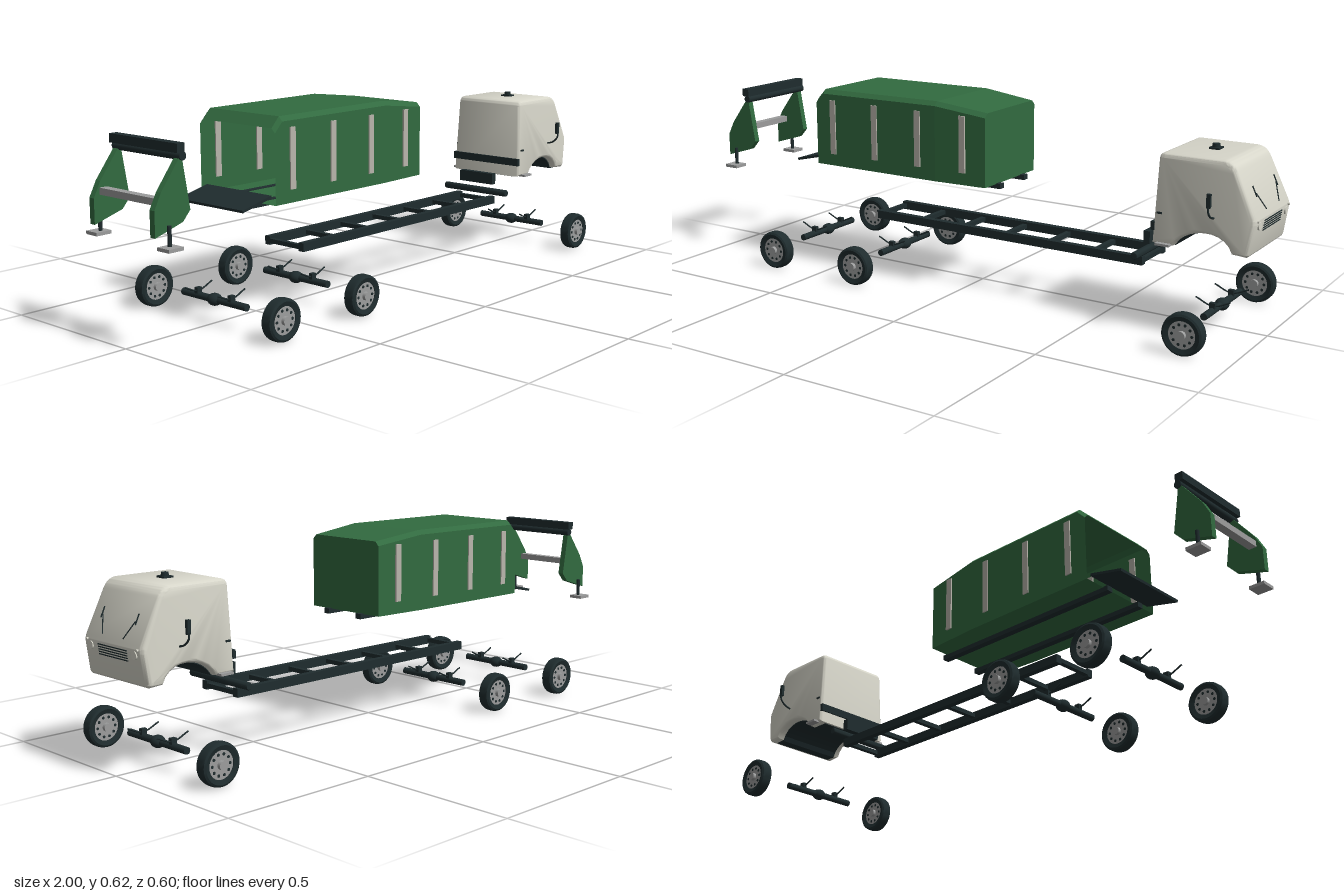
import * as THREE from 'three';
import { toCreasedNormals } from 'three/addons/utils/BufferGeometryUtils.js';

const mat = (name, color, side = THREE.FrontSide) => {
  const m = new THREE.MeshStandardMaterial({ color, side });
  m.name = name;
  return m;
};

export function createModel() {
  const truck = new THREE.Group();
  truck.name = 'explodedTruck';
  const green = mat('green', 0x326b40, THREE.DoubleSide);
  const dark = mat('dark', 0x1f2c2e);
  const cream = mat('cream', 0xd8d7cb);
  const metal = mat('metal', 0x9c9d9d);
  const trim = mat('trim', 0xb9b5ac);

  const group = (name, parent = truck) => {
    const g = new THREE.Group();
    g.name = name;
    parent.add(g);
    return g;
  };
  const add = (parent, name, geo, material, x = 0, y = 0, z = 0) => {
    const m = new THREE.Mesh(geo, material);
    m.name = name;
    m.position.set(x, y, z);
    parent.add(m);
    return m;
  };
  // Box given by its limits on each axis
  const box = (parent, name, material, x0, x1, y0, y1, z0, z1) =>
    add(parent, name, new THREE.BoxGeometry(x1 - x0, y1 - y0, z1 - z0), material,
      (x0 + x1) / 2, (y0 + y1) / 2, (z0 + z1) / 2);
  const cylZ = (r, w, n = 24) => new THREE.CylinderGeometry(r, r, w, n).rotateX(Math.PI / 2);
  const tube = (pts, r, n = 12) => new THREE.TubeGeometry(
    new THREE.CatmullRomCurve3(pts.map(p => new THREE.Vector3(...p))), n, r, 8);

  // Wheels and axles
  const tyreProfile = [[.042, -.015], [.056, -.0195], [.062, -.016], [.064, -.008], [.064, .008],
    [.062, .016], [.056, .0195], [.042, .015], [.042, -.015]].map(p => new THREE.Vector2(...p));
  const tyreGeo = toCreasedNormals(new THREE.LatheGeometry(tyreProfile, 40).rotateX(Math.PI / 2), 0.7);
  for (const x of [-0.667, -0.324, 0.854]) {
    for (const s of [1, -1]) {
      const wheel = group('wheel');
      wheel.position.set(x, 0.065, s * 0.277);
      add(wheel, 'tyre', tyreGeo, dark);
      add(wheel, 'rim', cylZ(0.043, 0.026, 32), metal);
      add(wheel, 'hub', cylZ(0.013, 0.048), metal);
      for (let i = 0; i < 10; i++) {
        const a = i * Math.PI / 5;
        add(wheel, 'rimHole', cylZ(0.0045, 0.029, 10), dark, 0.031 * Math.cos(a), 0.031 * Math.sin(a));
      }
    }
    const axle = group('axle');
    axle.position.set(x, 0.073, 0);
    add(axle, 'axleTube', cylZ(0.011, 0.276), dark);
    add(axle, 'differential', new THREE.SphereGeometry(0.024, 24, 16), dark).scale.set(0.9, 0.79, 1);
    for (const z of [0.072, -0.072]) {
      box(axle, 'springMount', dark, -0.009, 0.009, 0, 0.025, z - 0.007, z + 0.007);
      add(axle, 'leafSpring', tube([[-0.055, 0.034, z], [0, 0.014, z], [0.055, 0.034, z]], 0.0025), dark);
    }
  }

  // Ladder frame with bumper
  const frame = group('chassis');
  for (const s of [1, -1]) {
    box(frame, 'rail', dark, -0.375, 0.625, 0.176, 0.203, s * 0.073 - 0.0105, s * 0.073 + 0.0105);
  }
  for (let i = 0; i < 7; i++) {
    const x = -0.367 + i * 0.164;
    box(frame, 'crossMember', dark, x - 0.008, x + 0.008, 0.182, 0.196, -0.068, 0.068);
  }
  const bar = new THREE.Shape();
  bar.absellipse(0, 0, 0.0115, 0.012, 0, Math.PI * 2);
  const barGeo = new THREE.ExtrudeGeometry(bar, { depth: 0.266, bevelSize: 0.004, bevelOffset: -0.004,
    bevelThickness: 0.004, bevelSegments: 2, curveSegments: 10 }).translate(0, 0, -0.133);
  add(frame, 'bumper', toCreasedNormals(barGeo, 0.6), dark, 0.623, 0.219, 0);
  box(frame, 'radiator', dark, 0.622, 0.643, 0.244, 0.283, -0.072, 0.072);

  // Cab shell, extruded across and narrowed towards the roof
  const cab = group('cab');
  const side = new THREE.Shape();
  side.moveTo(0.682, 0.272);
  side.lineTo(0.748, 0.272);
  side.bezierCurveTo(0.785, 0.335, 0.905, 0.345, 0.93, 0.275);
  side.lineTo(0.972, 0.272);
  side.quadraticCurveTo(0.98, 0.272, 0.983, 0.285);
  side.lineTo(0.996, 0.365);
  side.quadraticCurveTo(0.998, 0.378, 0.994, 0.39);
  side.lineTo(0.935, 0.515);
  side.quadraticCurveTo(0.921, 0.545, 0.89, 0.545);
  side.lineTo(0.715, 0.545);
  side.quadraticCurveTo(0.694, 0.545, 0.692, 0.525);
  const taper = y => 1 - 0.08 * (y - 0.272) / 0.273;
  const cabGeo = new THREE.ExtrudeGeometry(side, { depth: 0.262, bevelThickness: 0.016, bevelSize: 0.014,
    bevelOffset: -0.014, bevelSegments: 5, curveSegments: 10 }).translate(0, 0, -0.131);
  const p = cabGeo.attributes.position;
  for (let i = 0; i < p.count; i++) p.setZ(i, p.getZ(i) * taper(p.getY(i)));
  add(cab, 'cabShell', toCreasedNormals(cabGeo, 0.6), cream);

  // Dark lining under the cab between the wheel arches
  const lining = new THREE.Shape();
  lining.moveTo(0.69, 0.27);
  lining.lineTo(0.749, 0.27);
  lining.bezierCurveTo(0.786, 0.332, 0.904, 0.342, 0.929, 0.27);
  lining.lineTo(0.965, 0.27);
  lining.lineTo(0.965, 0.275);
  lining.lineTo(0.935, 0.278);
  lining.bezierCurveTo(0.905, 0.35, 0.785, 0.34, 0.746, 0.276);
  lining.lineTo(0.69, 0.276);
  add(cab, 'underside', new THREE.ExtrudeGeometry(lining, { depth: 0.236, bevelEnabled: false }),
    dark, 0, 0, -0.118);

  // Front fittings follow the two slopes of the nose
  const frontX = y => y > 0.385 ? 0.996 - (y - 0.39) * 0.47 : 0.983 + (y - 0.285) * 0.16;
  for (let i = 0; i < 5; i++) {
    const y = 0.341 + i * 0.0073;
    box(cab, 'grilleSlat', dark, frontX(y) - 0.004, frontX(y) + 0.002, y - 0.0015, y + 0.0015, -0.07, 0.07);
  }
  add(cab, 'beaconBase', new THREE.BoxGeometry(0.032, 0.007, 0.036), dark, 0.813, 0.547, 0);
  add(cab, 'beacon', new THREE.CylinderGeometry(0.011, 0.012, 0.016, 16), dark, 0.813, 0.553, 0);
  box(cab, 'rearVent', dark, 0.678, 0.69, 0.312, 0.338, -0.144, 0.144);
  for (const s of [1, -1]) {
    const lamp = (name, r, y, z) => add(cab, name,
      new THREE.CylinderGeometry(r, r, 0.008, 20).rotateZ(Math.PI / 2), cream, frontX(y), y, s * z);
    lamp('headlight', 0.012, 0.362, 0.105);
    lamp('indicator', 0.004, 0.378, 0.121);
    const onGlass = (y, z) => [frontX(y) + 0.003, y, s * z];
    add(cab, 'wiperArm', tube([onGlass(0.4, 0.05), onGlass(0.45, 0.079)], 0.0016, 2), dark);
    add(cab, 'wiperBlade', tube([onGlass(0.44, 0.083), onGlass(0.47, 0.083)], 0.002, 2), dark);
    add(cab, 'mirrorArm', tube([[0.873, 0.374, s * 0.138], [0.873, 0.382, s * 0.165],
      [0.873, 0.4, s * 0.184], [0.873, 0.42, s * 0.187]], 0.003), dark);
    box(cab, 'mirror', dark, 0.867, 0.879, 0.414, 0.455, s * 0.183 - 0.005, s * 0.183 + 0.005);
    box(cab, 'step', metal, 0.70, 0.745, 0.272, 0.279, s * 0.149 - 0.012, s * 0.149 + 0.012);
    box(cab, 'doorHandle', dark, 0.697, 0.713, 0.364, 0.37, s * 0.142 - 0.004, s * 0.142 + 0.004);
  }

  // Hollow container, open at the back: x, half width and roof height of each section
  const container = group('container');
  const sections = [[-0.567, 0.16, 0.585], [-0.537, 0.16, 0.617], [-0.08, 0.16, 0.62], [0.105, 0.15, 0.598]]
    .map(([x, w, t]) => [[0.36, w], [t - 0.014, w], [t, w - 0.014], [t, 0.014 - w], [t - 0.014, -w], [0.36, -w]]
      .map(([y, z]) => [x, y, z]));
  const verts = [];
  const tri = (...pts) => pts.forEach(q => verts.push(...q));
  for (let i = 0; i < 3; i++) {
    for (let j = 0; j < 6; j++) {
      const k = (j + 1) % 6, a = sections[i], b = sections[i + 1];
      tri(a[j], b[j], b[k]);
      tri(a[j], b[k], a[k]);
    }
  }
  for (let j = 1; j < 5; j++) tri(sections[3][0], sections[3][j + 1], sections[3][j]);
  const bodyGeo = new THREE.BufferGeometry();
  bodyGeo.setAttribute('position', new THREE.Float32BufferAttribute(verts, 3));
  bodyGeo.computeVertexNormals();
  add(container, 'containerShell', bodyGeo, green);
  for (const s of [1, -1]) {
    for (const [x, z] of [[-0.497, 0.16], [-0.323, 0.16], [-0.149, 0.16], [0.022, 0.156]]) {
      box(container, 'sideRib', trim, x - 0.011, x + 0.011, 0.4, 0.584, s * z - 0.004, s * z + 0.004);
    }
    box(container, 'subframeRail', dark, -0.583, 0.12, 0.345, 0.362, s * 0.073 - 0.011, s * 0.073 + 0.011);
  }
  const ramp = add(container, 'loadingRamp', new THREE.BoxGeometry(0.118, 0.008, 0.276), dark, -0.62, 0.37, 0);
  ramp.rotation.z = 0.23;

  // Rear lifting gear
  const lift = group('rearLift');
  const cheek = new THREE.Shape([[-0.998, 0.335], [-0.9, 0.365], [-0.873, 0.395], [-0.9, 0.552],
    [-0.974, 0.456], [-0.998, 0.41]].map(q => new THREE.Vector2(...q)));
  const cheekGeo = new THREE.ExtrudeGeometry(cheek, { depth: 0.02, bevelEnabled: false });
  for (const s of [1, -1]) {
    add(lift, 'sidePlate', cheekGeo, green, 0, 0, s * 0.13 - 0.01);
    add(lift, 'footPost', new THREE.CylinderGeometry(0.006, 0.006, 0.06, 12), dark, -0.957, 0.335, s * 0.15);
    box(lift, 'foot', metal, -0.985, -0.933, 0.298, 0.308, s * 0.155 - 0.024, s * 0.155 + 0.024);
  }
  box(lift, 'topBeam', dark, -0.919, -0.892, 0.556, 0.582, -0.145, 0.145);
  add(lift, 'lowerTube', cylZ(0.012, 0.29), dark, -0.899, 0.546, 0);
  box(lift, 'crossBar', metal, -0.978, -0.952, 0.418, 0.438, -0.121, 0.121);

  return truck;
}
